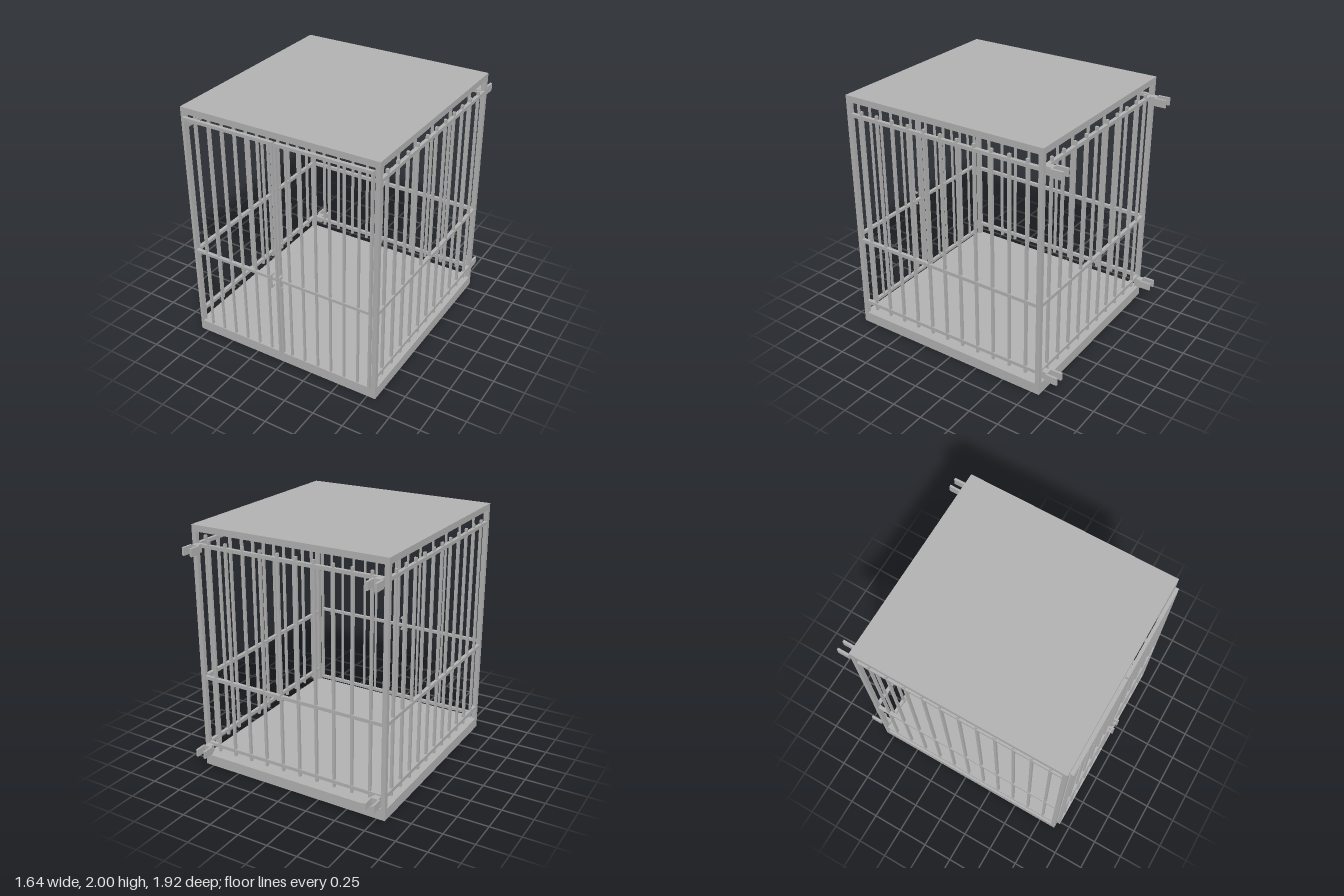
import * as THREE from 'three';

export function createModel() {
  const model = new THREE.Group();
  model.name = 'barredCage';
  const steel = new THREE.MeshStandardMaterial({ color: 0xb4b4b4 });
  steel.name = 'steel grey';

  // Box given by its minimum and maximum on each axis
  function box(parent, name, [x0, x1], [y0, y1], [z0, z1]) {
    const mesh = new THREE.Mesh(new THREE.BoxGeometry(x1 - x0, y1 - y0, z1 - z0), steel);
    mesh.position.set((x0 + x1) / 2, (y0 + y1) / 2, (z0 + z1) / 2);
    mesh.name = name;
    parent.add(mesh);
  }
  const around = (c, size) => [c - size / 2, c + size / 2];
  function group(name) {
    const g = new THREE.Group();
    g.name = name;
    model.add(g);
    return g;
  }

  const W = 0.819, FRONT = 0.89, BACK = -0.8225, POST = 0.036;

  // Floor, roof and corner posts
  box(model, 'floor', [-W, W], [0, 0.09], [BACK, FRONT]);
  box(model, 'roof', [-W, W], [1.95, 2], [BACK, FRONT]);
  for (const x of [-W + POST / 2, W - POST / 2]) {
    for (const z of [BACK + POST / 2, FRONT - POST / 2]) {
      box(model, 'cornerPost', around(x, POST), [0.09, 1.95], around(z, POST));
    }
  }

  const railHeights = [0.195, 0.775, 1.845];
  const RAIL = 0.028, BAR = 0.02, barY = [0.145, 1.89];

  // Side walls
  for (const side of [-1, 1]) {
    const wall = group(side > 0 ? 'leftWall' : 'rightWall');
    const x = side * (W - POST / 2);
    for (const y of railHeights) {
      box(wall, 'rail', around(x, RAIL), around(y, RAIL), [BACK + POST, FRONT - POST]);
    }
    for (let i = 0; i < 11; i++) {
      box(wall, 'bar', around(x, BAR), barY, around(0.761 - i * 0.1453, BAR));
    }
  }

  // Back wall
  const backWall = group('backWall');
  const backZ = BACK + POST / 2;
  for (const y of railHeights) {
    box(backWall, 'rail', [-W + POST, W - POST], around(y, RAIL), around(backZ, RAIL));
  }
  for (let i = 0; i < 10; i++) {
    box(backWall, 'bar', around(-0.683 + i * 0.1518, BAR), barY, around(backZ, BAR));
  }

  // Pair of front doors
  const doorZ = [0.894, 0.921];
  for (const side of [-1, 1]) {
    const door = group(side > 0 ? 'leftDoor' : 'rightDoor');
    const span = (a, b) => (side > 0 ? [a, b] : [-b, -a]);
    box(door, 'outerStile', span(0.767, 0.783), [0.095, 1.937], doorZ);
    box(door, 'innerStile', span(0.006, 0.022), [0.095, 1.937], doorZ);
    box(door, 'topRail', span(0.022, 0.767), [1.912, 1.937], doorZ);
    box(door, 'bottomRail', span(0.022, 0.767), [0.095, 0.12], doorZ);
    box(door, 'middleRail', span(0.022, 0.767), [0.788, 0.811], doorZ);
    for (let i = 0; i < 6; i++) {
      box(door, 'doorBar', around(side * (0.095 + i * 0.1163), 0.016), [0.12, 1.912], around(0.9075, 0.016));
    }
    // Pull handle
    const handleX = around(side * 0.039, 0.015);
    box(door, 'handleGrip', handleX, [0.743, 0.862], [0.947, 0.961]);
    for (const y of [0.75, 0.855]) box(door, 'handleArm', handleX, around(y, 0.014), [0.921, 0.947]);
  }

  // Forked brackets on the back posts
  for (const side of [-1, 1]) {
    for (const y of [[0.138, 0.2], [1.8, 1.862]]) {
      const bracket = group('backBracket');
      box(bracket, 'bracketBlock', around(side * 0.76, 0.052), y, [-0.873, BACK]);
      for (const offset of [-0.035, 0.035]) {
        box(bracket, 'bracketPlate', around(side * 0.76 + offset, 0.018), y, [-0.961, -0.865]);
      }
    }
  }
  return model;
}
